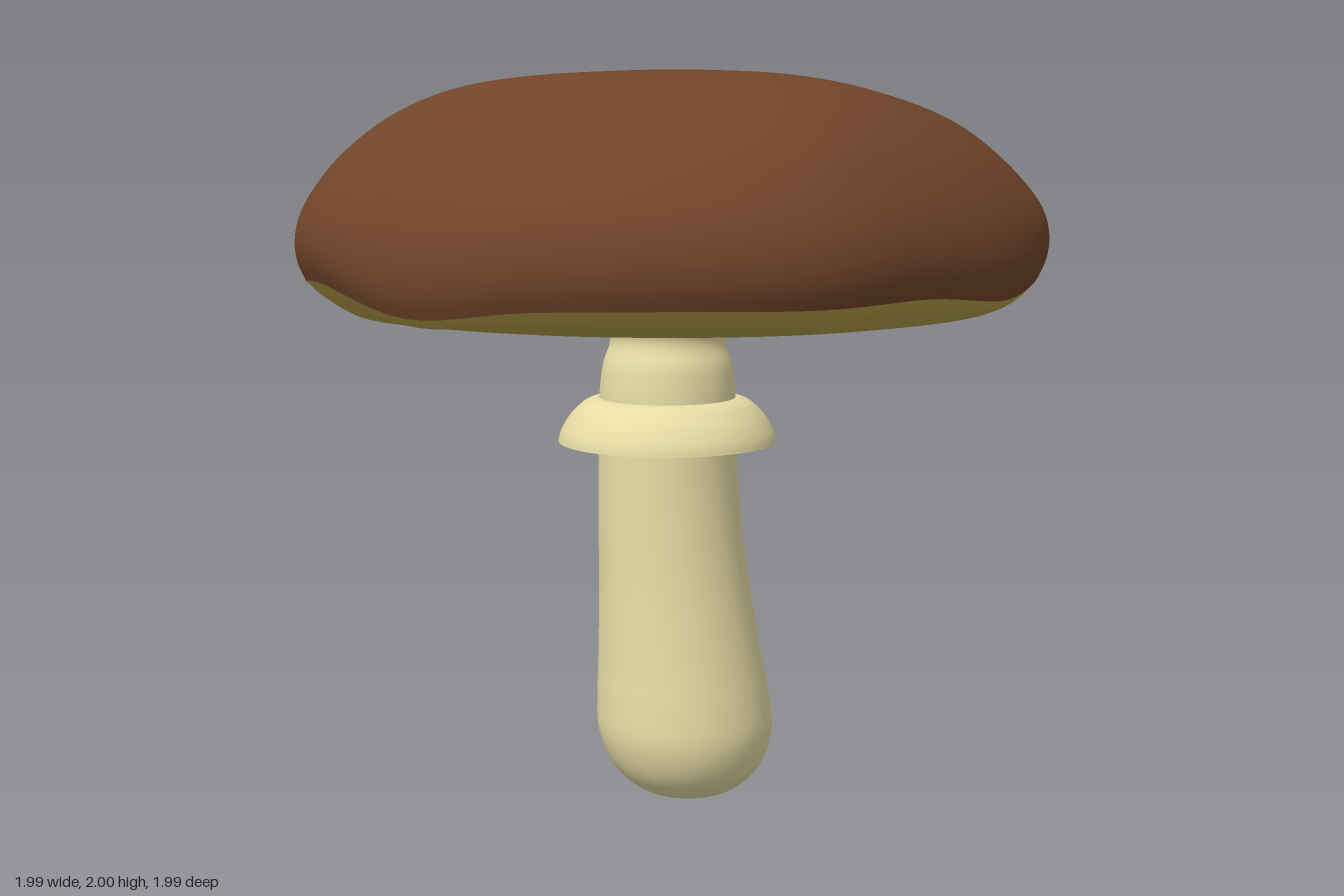
import * as THREE from 'three';
import { mergeVertices } from 'three/addons/utils/BufferGeometryUtils.js';

// Values every 20 degrees, measured from +x towards +z
const RIM = [0.992, 0.967, 0.95, 0.98, 0.988, 0.995, 1.0, 1.03, 1.01, 1.0, 1.01, 0.99, 1.005, 0.99, 1.0, 0.985, 0.975, 0.968];
const SEAM = [1.465, 1.425, 1.445, 1.435, 1.437, 1.43, 1.402, 1.468, 1.45, 1.44, 1.455, 1.435, 1.44, 1.43, 1.45, 1.45, 1.455, 1.405];

// Smooth periodic lookup in one of the tables above
function around(table, angle) {
  const n = table.length;
  const t = ((angle / (2 * Math.PI)) * n + n) % n;
  const i = Math.floor(t), f = t - i;
  const [a, b, c, d] = [-1, 0, 1, 2].map((k) => table[(i + k + n) % n]);
  return b + 0.5 * f * (c - a + f * (2 * a - 5 * b + 4 * c - d + f * (3 * (b - c) + d - a)));
}

// Smooth lathe whose vertices are then moved by a rule
function turned(points, steps, segments, move) {
  const curve = new THREE.SplineCurve(points.map(([r, y]) => new THREE.Vector2(r, y)));
  const profile = curve.getPoints(steps);
  profile.forEach((p) => { p.x = Math.max(p.x, 0); });
  let geo = new THREE.LatheGeometry(profile, segments);
  const pos = geo.attributes.position;
  const v = new THREE.Vector3();
  for (let i = 0; i < pos.count; i++) {
    v.fromBufferAttribute(pos, i);
    move(v);
    pos.setXYZ(i, v.x, v.y, v.z);
  }
  geo.deleteAttribute('uv');
  geo.deleteAttribute('normal');
  geo = mergeVertices(geo, 1e-5);
  geo.computeVertexNormals();
  return geo;
}

// Irregular outline, wavy lower edge and soft bumps on the dome
function shapeCap(v) {
  const r = Math.hypot(v.x, v.z);
  const a = Math.atan2(v.z, v.x);
  const scale = 1 + (around(RIM, a) - 1) * Math.min(r, 1);
  const isTop = v.y > 1.4399;
  const edge = isTop
    ? 1 - THREE.MathUtils.smoothstep(v.y, 1.44, 1.8)
    : THREE.MathUtils.smoothstep(r, 0.86, 0.975);
  v.y += (around(SEAM, a) - 1.44) * edge;
  if (v.y > 1.6) v.y -= 0.015 * Math.cos(4 * a) * THREE.MathUtils.smoothstep(r, 0.2, 0.7) * THREE.MathUtils.smoothstep(v.y, 1.6, 1.8);
  v.x *= scale;
  v.z *= scale;
}

// The stem leans slightly from its foot towards -x
function lean(v) {
  v.x += 0.035 - 0.06 * THREE.MathUtils.smoothstep(v.y, -0.1, 1.0);
}

export function createModel() {
  const brown = new THREE.MeshStandardMaterial({ color: 0x72452a });
  brown.name = 'cap brown';
  const olive = new THREE.MeshStandardMaterial({ color: 0xb8a24a });
  olive.name = 'gill olive';
  const cream = new THREE.MeshStandardMaterial({ color: 0xe8dda6 });
  cream.name = 'stem cream';

  const group = new THREE.Group();
  group.name = 'mushroom';
  function add(name, geometry, material) {
    const mesh = new THREE.Mesh(geometry, material);
    mesh.name = name;
    group.add(mesh);
    return mesh;
  }

  // Domed cap, from the wavy edge to the crown
  add('cap', turned([
    [0.975, 1.44], [0.995, 1.49], [1.0, 1.55], [0.985, 1.62], [0.945, 1.695], [0.87, 1.785],
    [0.75, 1.875], [0.6, 1.937], [0.4, 1.976], [0.2, 1.995], [0, 2.0],
  ], 48, 108, shapeCap), brown);

  // Shallow underside that meets the cap at the edge
  add('gills', turned([
    [0, 1.335], [0.2, 1.336], [0.5, 1.345], [0.8, 1.363], [0.88, 1.382], [0.94, 1.409], [0.975, 1.44],
  ], 40, 108, shapeCap), olive);

  // Stem with a swollen foot and a flared neck
  add('stem', turned([
    [0.02, 0.001], [0.1, 0.003], [0.16, 0.03], [0.215, 0.09], [0.245, 0.18], [0.242, 0.28], [0.229, 0.4],
    [0.21, 0.6], [0.198, 0.8], [0.19, 1.0], [0.188, 1.12], [0.183, 1.18], [0.176, 1.22],
    [0.16, 1.265], [0.16, 1.295], [0.175, 1.32], [0.205, 1.338],
  ], 80, 48, lean), cream);

  // Small oblong dark spot under the foot
  const spot = add('footSpot', new THREE.CircleGeometry(1, 16), brown);
  spot.rotation.set(Math.PI / 2, 0, -Math.PI / 4);
  spot.scale.set(0.06, 0.025, 1);
  spot.position.set(0.033, 0, 0);

  // Skirt ring: rounded outside, hollow below
  const ringOuter = [[0.302, 1.0], [0.295, 1.028], [0.27, 1.07], [0.235, 1.105], [0.205, 1.119], [0.18, 1.122]];
  const ringInner = [[0.18, 1.1], [0.225, 1.085], [0.255, 1.055], [0.275, 1.03], [0.284, 1.0]];
  const ringRim = [[0.284, 1.0], [0.302, 1.0]];
  add('ringOutside', turned(ringOuter, 20, 48, lean), cream);
  add('ringInside', turned(ringInner, 16, 48, lean), cream);
  add('ringRim', turned(ringRim, 1, 48, lean), cream);

  return group;
}
